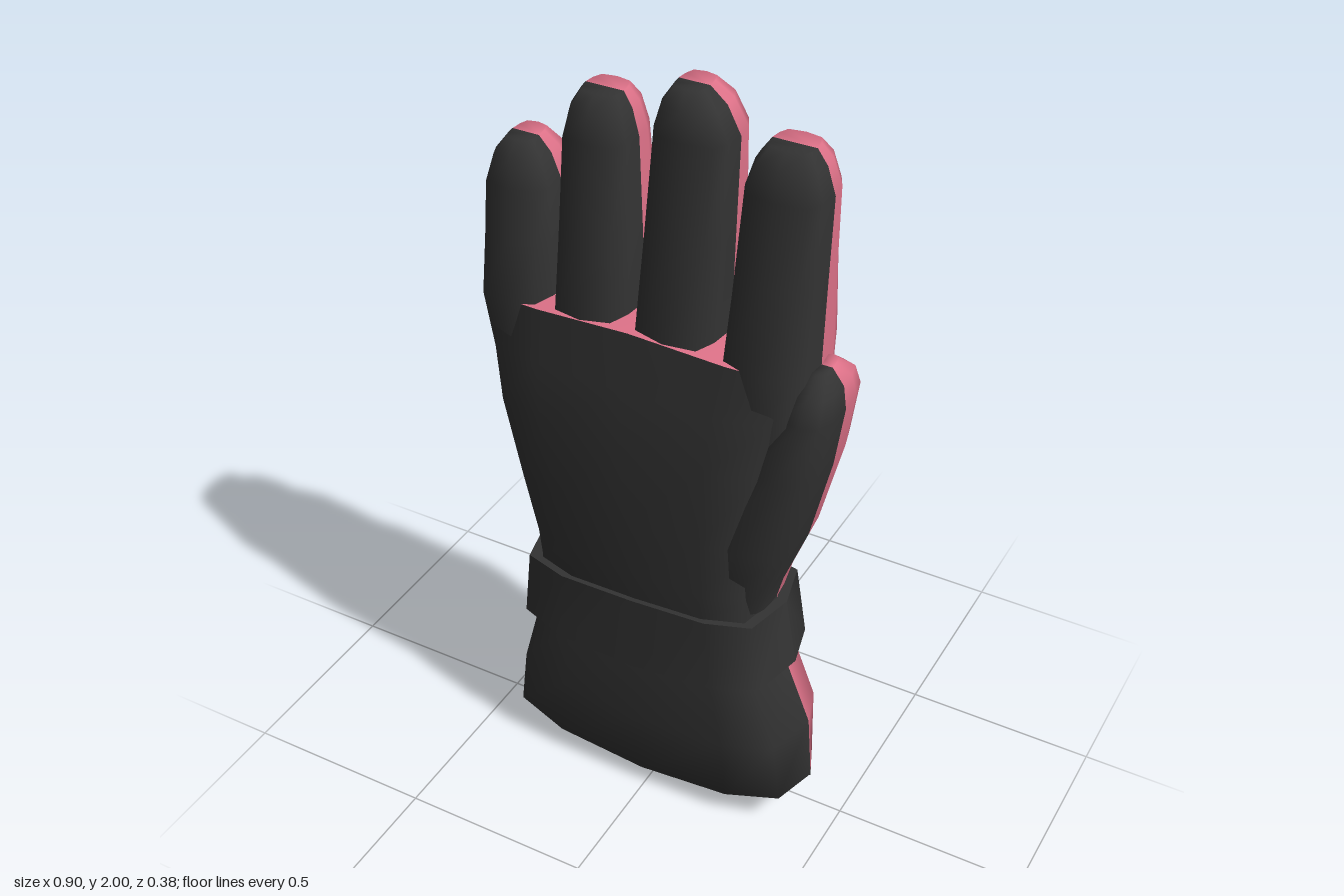
import * as THREE from 'three';

const DARK = 0x333333, PINK = 0xe0738a, SEAM = 0.015;
const darkMat = new THREE.MeshStandardMaterial({ color: DARK, side: THREE.DoubleSide });
const pinkMat = new THREE.MeshStandardMaterial({ color: PINK, side: THREE.DoubleSide });

// Half cross-sections: [across, depth] from the +x seam to the centre line
const ROUND = [[1, 0], [0.93, 0.5], [0.74, 0.88], [0, 1]];
const FLAT = [[1, 0], [0.91, 0.78], [0.58, 0.98], [0, 1]];
const RIDGE = [[1, 0], [0.91, 0.68], [0.52, 0.88], [0, 1]];

// Lofts one half shell (side 1 = front, -1 = back).
// Section: [y, xLeft, xRight, frontZ, backZ, arch, tilt], from bottom to top
function shell(sections, half, side, capTop) {
  const profile = [...half, ...half.slice(0, -1).reverse().map(([x, z]) => [-x, z])];
  const n = profile.length, pos = [], idx = [];
  const tri = (a, b, c) => (side > 0 ? idx.push(a, b, c) : idx.push(a, c, b));
  for (const [y, x0, x1, f, b, arch = 0, tilt = 0] of sections) {
    for (const [px, pz] of profile) {
      pos.push((x0 + x1) / 2 + px * (x1 - x0) / 2,
        y + arch * (1 - px * px) + tilt * px,
        SEAM + pz * ((side > 0 ? f : b) - SEAM));
    }
  }
  for (let i = 0; i < sections.length - 1; i++) {
    for (let j = 0; j < n - 1; j++) {
      const a = i * n + j, c = a + n;
      tri(a, c, a + 1);
      tri(a + 1, c, c + 1);
    }
  }
  if (capTop) {
    const t = (sections.length - 1) * n;
    for (let j = 1; j < n - 1; j++) tri(t, t + j + 1, t + j);
  }
  const g = new THREE.BufferGeometry();
  g.setAttribute('position', new THREE.Float32BufferAttribute(pos, 3));
  g.setIndex(idx);
  g.computeVertexNormals();
  return g;
}

// Front and back shells joined at the side seam
function part(name, sections, { front = ROUND, back = ROUND, cap = false, mats = [darkMat, pinkMat] } = {}) {
  const group = new THREE.Group();
  group.name = name;
  [[front, 1, 'Front'], [back, -1, 'Back']].forEach(([half, side, label], i) => {
    const mesh = new THREE.Mesh(shell(sections, half, side, cap), mats[i]);
    mesh.name = name + label;
    group.add(mesh);
  });
  return group;
}

export function createModel() {
  const glove = new THREE.Group();
  glove.name = 'glove';
  const body = { front: FLAT, back: RIDGE };

  // Palm and wrist
  const top = [1.385, -0.452, 0.388, 0.155, -0.142, 0.035];
  glove.add(part('palm', [
    [0.55, -0.335, 0.31, 0.16, -0.125],
    [0.66, -0.33, 0.3, 0.168, -0.128],
    [0.74, -0.335, 0.3, 0.175, -0.135],
    [0.9, -0.37, 0.31, 0.182, -0.15],
    [1.12, -0.418, 0.335, 0.187, -0.188],
    [1.27, -0.44, 0.36, 0.173, -0.168],
    top,
  ], body));

  // Lining that closes the palm between the fingers
  const closed = [...top];
  closed[3] = closed[4] = SEAM;
  glove.add(part('fingerWebbing', [top, closed], { ...body, mats: [pinkMat, pinkMat] }));

  // Fingers: left and right edge at the base, at the knuckle below the tip, and on the tip
  const fingers = [
    ['littleFinger', 1.775, [-0.455, -0.263], [-0.452, -0.278], [-0.405, -0.335]],
    ['ringFinger', 1.937, [-0.26, -0.063], [-0.243, -0.075], [-0.208, -0.112]],
    ['middleFinger', 2.0, [-0.052, 0.158], [-0.02, 0.173], [0.022, 0.098]],
    ['indexFinger', 1.917, [0.172, 0.385], [0.2, 0.396], [0.245, 0.35]],
  ];
  for (const [name, y, base, knuckle, tip] of fingers) {
    const k = y - 0.1, mid = (1.42 + k) / 2;
    const lean = name === 'littleFinger' ? 0.03 : 0;
    glove.add(part(name, [
      [1.2, base[0] + lean, base[1], 0.14, -0.12],
      [1.4, ...base, 0.152, -0.142],
      [mid, (base[0] + knuckle[0]) / 2, (base[1] + knuckle[1]) / 2, 0.126, -0.105],
      [k, ...knuckle, 0.108, -0.08],
      [y - 0.035, knuckle[0] * 0.55 + tip[0] * 0.45, knuckle[1] * 0.55 + tip[1] * 0.45, 0.092, -0.065],
      [y, ...tip, 0.06, -0.04],
    ], { cap: true }));
  }

  // Thumb, lying along the side of the palm
  glove.add(part('thumb', [
    [0.66, 0.12, 0.295, 0.12, -0.1],
    [0.74, 0.12, 0.315, 0.145, -0.118],
    [0.9, 0.15, 0.375, 0.165, -0.13],
    [1.13, 0.25, 0.428, 0.158, -0.142],
    [1.29, 0.325, 0.45, 0.135, -0.115],
    [1.35, 0.345, 0.442, 0.11, -0.085],
    [1.39, 0.372, 0.412, 0.06, -0.035],
  ], { cap: true }));

  // Flared cuff with a curved, closed hem
  glove.add(part('cuff', [
    [0.11, -0.435, 0.417, SEAM, SEAM, -0.105],
    [0.115, -0.435, 0.417, 0.155, -0.115, -0.06],
    [0.3, -0.4, 0.403, 0.18, -0.14, -0.04],
    [0.47, -0.352, 0.335, 0.168, -0.128],
    [0.58, -0.335, 0.31, 0.16, -0.125],
  ], body));

  // Wrist strap: a tilted band with thickness
  const outside = [
    [0.475, -0.388, 0.358, 0.182, -0.146, -0.038, 0.012],
    [0.658, -0.367, 0.327, 0.18, -0.143, -0.006, 0.012],
  ];
  const inside = outside.map(([y, a, b, f, k, ...rest]) => [y, a + 0.05, b - 0.045, f - 0.025, k + 0.025, ...rest]);
  const strapBody = { front: FLAT, back: FLAT, mats: [darkMat, darkMat] };
  glove.add(part('strap', outside, strapBody));
  glove.add(part('strapLowerEdge', [inside[0], outside[0]], strapBody));
  glove.add(part('strapUpperEdge', [outside[1], inside[1]], strapBody));
  return glove;
}
